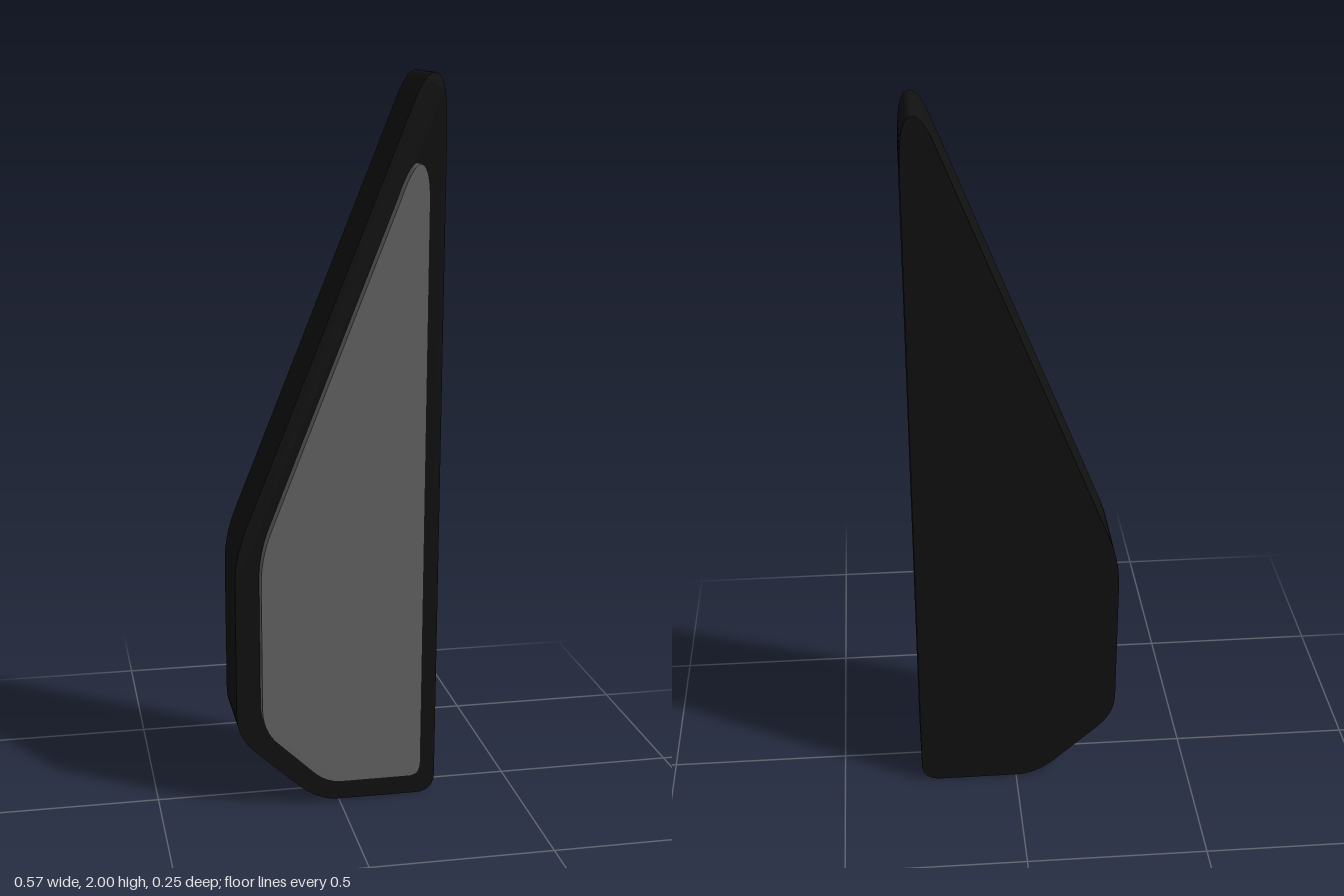
import * as THREE from 'three';

// Outline from straight runs joined by curved corners.
// Each corner: [start x, y, control x, y, end x, y]
function roundedOutline(corners) {
  const s = new THREE.Shape();
  corners.forEach(([ax, ay, cx, cy, bx, by], i) => {
    if (i === 0) s.moveTo(ax, ay);
    else s.lineTo(ax, ay);
    s.quadraticCurveTo(cx, cy, bx, by);
  });
  s.closePath();
  return s;
}

function slab(name, corners, zBack, zFront, color) {
  const geometry = new THREE.ExtrudeGeometry(roundedOutline(corners), {
    depth: zFront - zBack, bevelEnabled: false, curveSegments: 10,
  });
  geometry.translate(0, 0, zBack);
  const mesh = new THREE.Mesh(geometry, new THREE.MeshStandardMaterial({ color }));
  mesh.name = name;
  return mesh;
}

export function createModel() {
  const group = new THREE.Group();
  group.name = 'taperedPanel';

  // Dark housing, counter-clockwise from the bottom right corner
  group.add(slab('housing', [
    [0.22, 0, 0.275, 0, 0.275, 0.055],
    [0.284, 1.85, 0.284, 1.93, 0.276, 1.965],
    [0.276, 1.965, 0.268, 2.0, 0.25, 2.0],
    [0.25, 2.0, 0.228, 2.0, 0.202, 1.94],
    [-0.25, 0.815, -0.286, 0.73, -0.286, 0.65],
    [-0.286, 0.27, -0.286, 0.205, -0.23, 0.155],
    [-0.12, 0.055, -0.06, 0, 0.0, 0],
  ], -0.127, 0.087, 0x111111));

  // Raised grey face plate
  group.add(slab('facePlate', [
    [0.19, 0.07, 0.225, 0.07, 0.225, 0.11],
    [0.232, 1.67, 0.232, 1.77, 0.205, 1.77],
    [0.205, 1.77, 0.185, 1.765, 0.155, 1.68],
    [-0.19, 0.81, -0.22, 0.735, -0.22, 0.66],
    [-0.22, 0.30, -0.22, 0.235, -0.175, 0.195],
    [-0.085, 0.11, -0.045, 0.07, 0.0, 0.07],
  ], 0.08, 0.127, 0x666666));

  return group;
}
